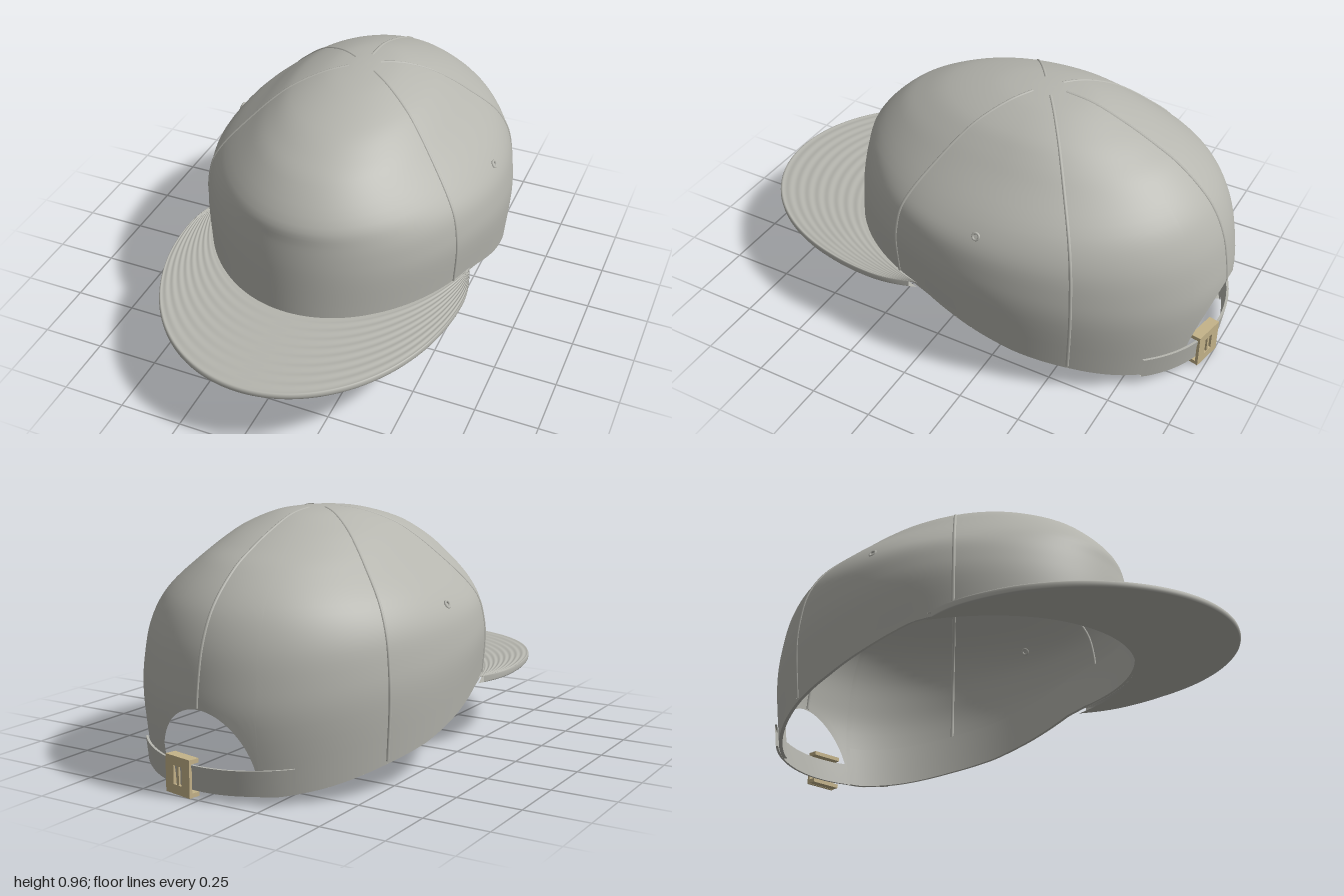
import * as THREE from 'three';
import { mergeVertices, toCreasedNormals } from 'three/addons/utils/BufferGeometryUtils.js';

const fabric = new THREE.MeshStandardMaterial({ color: 0xb5b5ae, side: THREE.DoubleSide });
fabric.name = 'grey fabric';
const brass = new THREE.MeshStandardMaterial({ color: 0xc4b389 });
brass.name = 'pale brass';

const RX = 0.61, RZ = 0.785, CZ = -0.215;   // plan ellipse of the crown
const ARCH = 0.36;                          // half angle of the rear opening
const { lerp, clamp } = THREE.MathUtils;

// Radius fraction at each height, for the front, side and back of the crown
const HEIGHT = [0.968, 0.965, 0.95, 0.9, 0.85, 0.79, 0.668, 0.55, 0.42, 0.3, 0.03];
const FRONT = [0, 0.11, 0.28, 0.53, 0.67, 0.79, 0.93, 0.95, 0.968, 0.98, 1];
const SIDE = [0, 0.1, 0.24, 0.43, 0.54, 0.65, 0.865, 0.955, 0.99, 1, 0.975];
const BACK = [0, 0.1, 0.25, 0.43, 0.57, 0.707, 0.873, 0.95, 0.987, 1, 0.96];
const RIM = [[0.6, 0.292], [0.1, 0.292], [0, 0.28], [-0.2, 0.215], [-0.4, 0.155],
  [-0.6, 0.11], [-0.8, 0.057], [-0.92, 0.03], [-1.1, 0.03]];

// Height of the lower edge at depth z
function rimAt(z) {
  for (let i = 1; i < RIM.length; i++) {
    const [z0, y0] = RIM[i - 1], [z1, y1] = RIM[i];
    if (z >= z1) return lerp(y0, y1, clamp((z - z0) / (z1 - z0), 0, 1));
  }
  return 0.03;
}
const rimOf = (b) => rimAt(CZ - RZ * Math.cos(b));

// Crown profile at angle b, measured from the centre of the back
function profile(b) {
  const c = -Math.cos(b), end = c > 0 ? FRONT : BACK, rim = rimOf(b);
  return new THREE.CatmullRomCurve3(HEIGHT.map((h, i) => {
    const y = h < 0.668 ? 0.668 - (0.668 - h) * (0.668 - rim) / 0.638 : h;
    return new THREE.Vector3(lerp(SIDE[i], end[i], c * c), y, 0);
  }));
}
function paramAt(curve, y) {
  let lo = 0, hi = 1;
  for (let i = 0; i < 24; i++) {
    const m = (lo + hi) / 2;
    if (curve.getPoint(m).y > y) lo = m; else hi = m;
  }
  return hi;
}
function place(b, r, y, offset = 0) {
  const k = r + offset / 0.7;
  return new THREE.Vector3(RX * k * Math.sin(b), y, CZ - RZ * k * Math.cos(b));
}
// Point on the crown at angle b and height y, pushed out by an offset
function onCrown(b, y, offset = 0) {
  const curve = profile(b);
  return place(b, curve.getPoint(paramAt(curve, y)).x, y, offset);
}

// Surface through rows of points
function loft(rows) {
  const n = rows[0].length, index = [];
  for (let i = 0; i < rows.length - 1; i++) {
    for (let j = 0; j < n - 1; j++) {
      const a = i * n + j, d = a + n;
      index.push(a, d, a + 1, d, d + 1, a + 1);
    }
  }
  let g = new THREE.BufferGeometry().setFromPoints(rows.flat());
  g.setIndex(index);
  g = mergeVertices(g, 1e-5);
  g.computeVertexNormals();
  return g;
}
const span = (a, b, n) => Array.from({ length: n + 1 }, (_, i) => lerp(a, b, i / n));

function addMesh(parent, name, geometry, material = fabric) {
  const m = new THREE.Mesh(geometry, material);
  m.name = name;
  parent.add(m);
  return m;
}

export function createModel() {
  const cap = new THREE.Group();
  cap.name = 'cap';

  // Crown with the arched opening at the back
  const angles = [
    ...span(-Math.PI, -ARCH, 70).slice(0, -1),
    ...span(-Math.PI / 2, Math.PI / 2, 32).map((q) => ARCH * Math.sin(q)),
    ...span(ARCH, Math.PI, 70).slice(1),
  ];
  addMesh(cap, 'crown', loft(angles.map((b) => {
    const curve = profile(b);
    const inside = Math.abs(b) < ARCH - 1e-6;
    const low = inside ? 0.035 + 0.295 * Math.sqrt(1 - (b / ARCH) ** 2) : 0;
    const end = inside ? paramAt(curve, low) : 1;
    return span(0, end, 44).map((t) => {
      const p = curve.getPoint(t);
      return place(b, t === 0 ? 0 : p.x, p.y);
    });
  })));

  // Sweatband inside, folded in from the lower edge
  addMesh(cap, 'sweatband', toCreasedNormals(loft(span(ARCH + 0.01, 2 * Math.PI - ARCH - 0.01, 120).map((b) => {
    const rim = rimOf(b);
    return [onCrown(b, rim + 0.001), onCrown(b, rim + 0.001, -0.014),
      ...[0.06, 0.12, 0.175].map((h) => onCrown(b, rim + h, -0.014))];
  })), 0.8));

  // Raised seams: four diagonals and one down the back
  for (const b of [0, 1.065, -1.065, 2.06, -2.06]) {
    const curve = profile(b);
    const end = b === 0 ? paramAt(curve, 0.335) : 0.995;
    const path = new THREE.CatmullRomCurve3(span(0.1, end, 26).map((t) => {
      const p = curve.getPoint(t);
      const v = place(b, p.x, p.y, -0.002);
      v.y -= 0.004 * (1 - t);
      return v;
    }));
    addMesh(cap, 'seam', new THREE.TubeGeometry(path, 60, 0.007, 8));
  }

  // Stitched eyelets on the side panels
  for (const side of [1, -1]) {
    const eyelet = new THREE.Group();
    eyelet.name = 'eyelet';
    addMesh(eyelet, 'eyeletRing', new THREE.TorusGeometry(0.013, 0.005, 8, 20));
    eyelet.position.copy(onCrown(side * 1.57, 0.63));
    eyelet.lookAt(eyelet.position.clone().add(new THREE.Vector3(side, 0.45, 0)));
    cap.add(eyelet);
  }

  // Brim with concentric stitch ripples on top and a rounded edge
  const section = [
    ...span(0, 0.985, 72).map((s) => [s, s > 0.08 ? 0.0014 * Math.cos(s * Math.PI * 18) : 0]),
    [0.996, -0.004], [1, -0.012], [0.996, -0.02],
    ...span(0.985, 0, 8).map((s) => [s, -0.024]),
  ];
  addMesh(cap, 'brim', loft(span(1, -1, 110).map((u) => {
    const m = Math.abs(u), a = u * 1.22;
    const inner = [RX * 0.98 * Math.sin(a), CZ + RZ * 0.98 * Math.cos(a)];
    const q = Math.min(m / 0.85, 1) * Math.PI / 2, k = Math.max(0, (m - 0.85) / 0.15);
    const outer = [Math.sign(u) * (0.602 * Math.sin(q) - 0.03 * k * k), 0.25 + 0.745 * Math.cos(q) - 0.17 * k];
    return section.map(([s, dy]) => {
      const z = lerp(inner[1], outer[1], s);
      const y = 0.301 - 0.016 * clamp((z - 0.45) / 0.55, 0, 1);
      return new THREE.Vector3(lerp(inner[0], outer[0], s), y + dy, z);
    });
  })));

  // Adjusting strap across the opening
  addMesh(cap, 'strap', toCreasedNormals(loft(span(-0.56, 0.66, 48).map((b) => {
    const mid = 0.078 + 0.04 * b * b, top = mid + 0.047, low = mid - 0.047;
    return [[top, 0.013], [mid, 0.013], [low, 0.013], [low, 0.004], [mid, 0.004], [top, 0.004], [top, 0.013]]
      .map(([y, o]) => onCrown(b, Math.max(y, rimOf(b) + 0.001), o));
  })), 0.8));

  // Buckle: slotted plate with lips above and below the strap, and a prong
  const buckle = new THREE.Group();
  buckle.name = 'buckle';
  const box = (x0, y0, x1, y1, Kind) => new Kind([[x0, y0], [x1, y0], [x1, y1], [x0, y1]]
    .map(([x, y]) => new THREE.Vector2(x, y)));
  const plate = box(-0.065, -0.07, 0.065, 0.07, THREE.Shape);
  plate.holes.push(box(-0.022, -0.035, 0.022, 0.035, THREE.Path));
  addMesh(buckle, 'bucklePlate', new THREE.ExtrudeGeometry(plate, { depth: 0.012, bevelEnabled: false }), brass);
  for (const y of [-0.061, 0.061]) {
    addMesh(buckle, 'buckleLip', new THREE.BoxGeometry(0.13, 0.016, 0.036), brass).position.set(0, y, -0.014);
  }
  addMesh(buckle, 'buckleProng', new THREE.BoxGeometry(0.012, 0.08, 0.008), brass).position.set(0, 0, 0.007);
  const b = 0.163;
  buckle.position.copy(onCrown(b, 0.074, 0.012));
  buckle.rotation.y = Math.atan2(Math.sin(b) / RX, -Math.cos(b) / RZ);
  cap.add(buckle);

  return cap;
}
